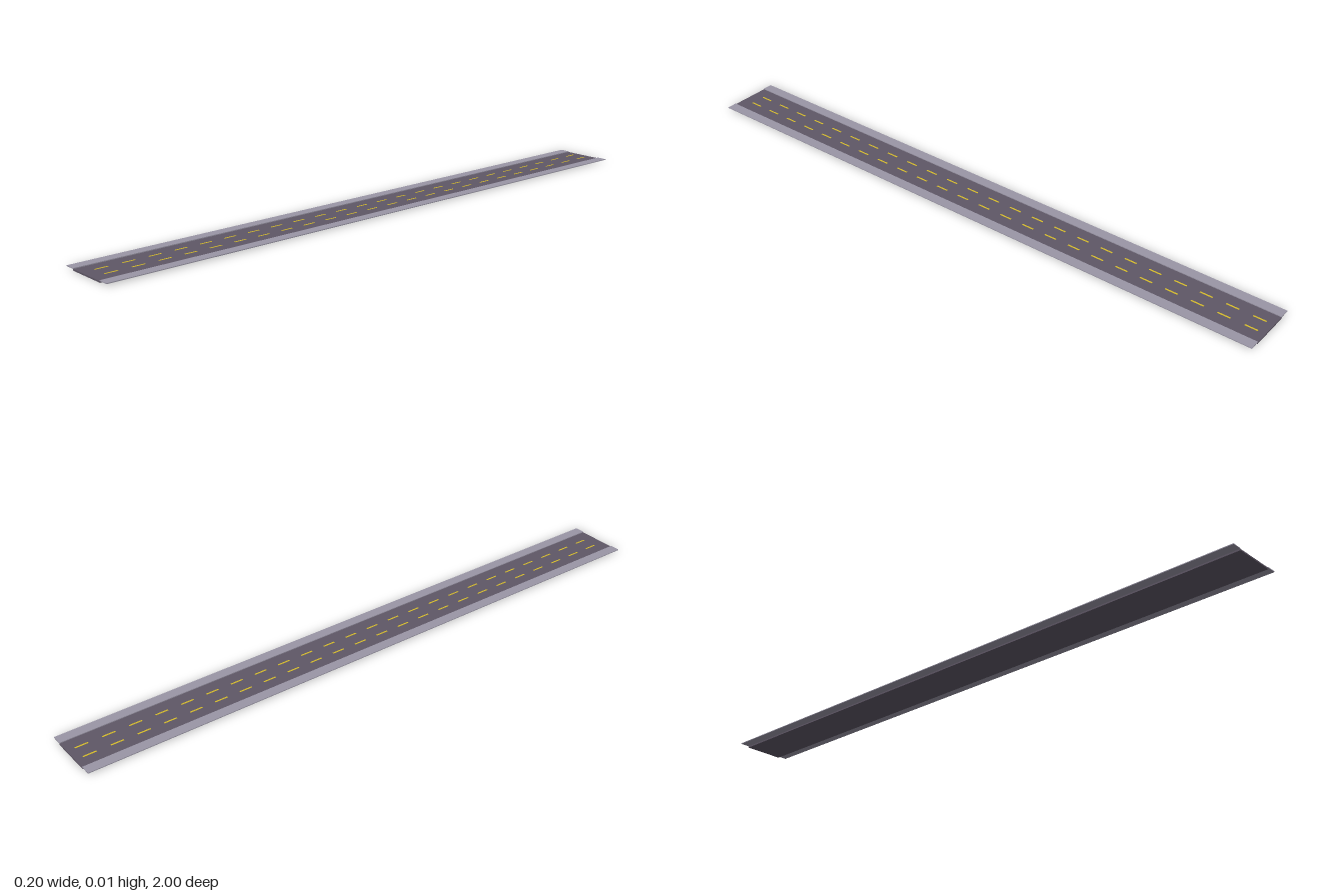
import * as THREE from 'three';

export function createModel() {
  const road = new THREE.Group();
  road.name = 'road';

  const material = (name, color) => {
    const m = new THREE.MeshStandardMaterial({ color });
    m.name = name;
    return m;
  };
  const asphalt = material('asphalt', 0x5f5766);
  const paving = material('paving', 0x9a96a6);
  const yellowPaint = material('yellow paint', 0xd6bc2c);

  // Box placed by its centre in x and z and by its underside in y
  const slab = (name, mat, w, h, d, x, y, z, parent = road) => {
    const mesh = new THREE.Mesh(new THREE.BoxGeometry(w, h, d), mat);
    mesh.name = name;
    mesh.position.set(x, y + h / 2, z);
    parent.add(mesh);
  };

  // Carriageway, with the raised pavements overhanging along both sides
  slab('carriageway', asphalt, 0.134, 0.0045, 2, 0, 0, 0);
  slab('leftPavement', paving, 0.033, 0.0025, 2, 0.0825, 0.0045, 0);
  slab('rightPavement', paving, 0.033, 0.0025, 2, -0.0825, 0.0045, 0);

  // Two rows of dashed lane markings
  const dashes = 24;
  const pitch = 0.0825;
  for (const [name, x] of [['leftLaneMarking', 0.023], ['rightLaneMarking', -0.025]]) {
    const row = new THREE.Group();
    row.name = name;
    for (let i = 0; i < dashes; i++) {
      const z = (i - (dashes - 1) / 2) * pitch - 0.008;
      slab('dash', yellowPaint, 0.005, 0.0006, 0.04, x, 0.0045, z, row);
    }
    road.add(row);
  }

  return road;
}
